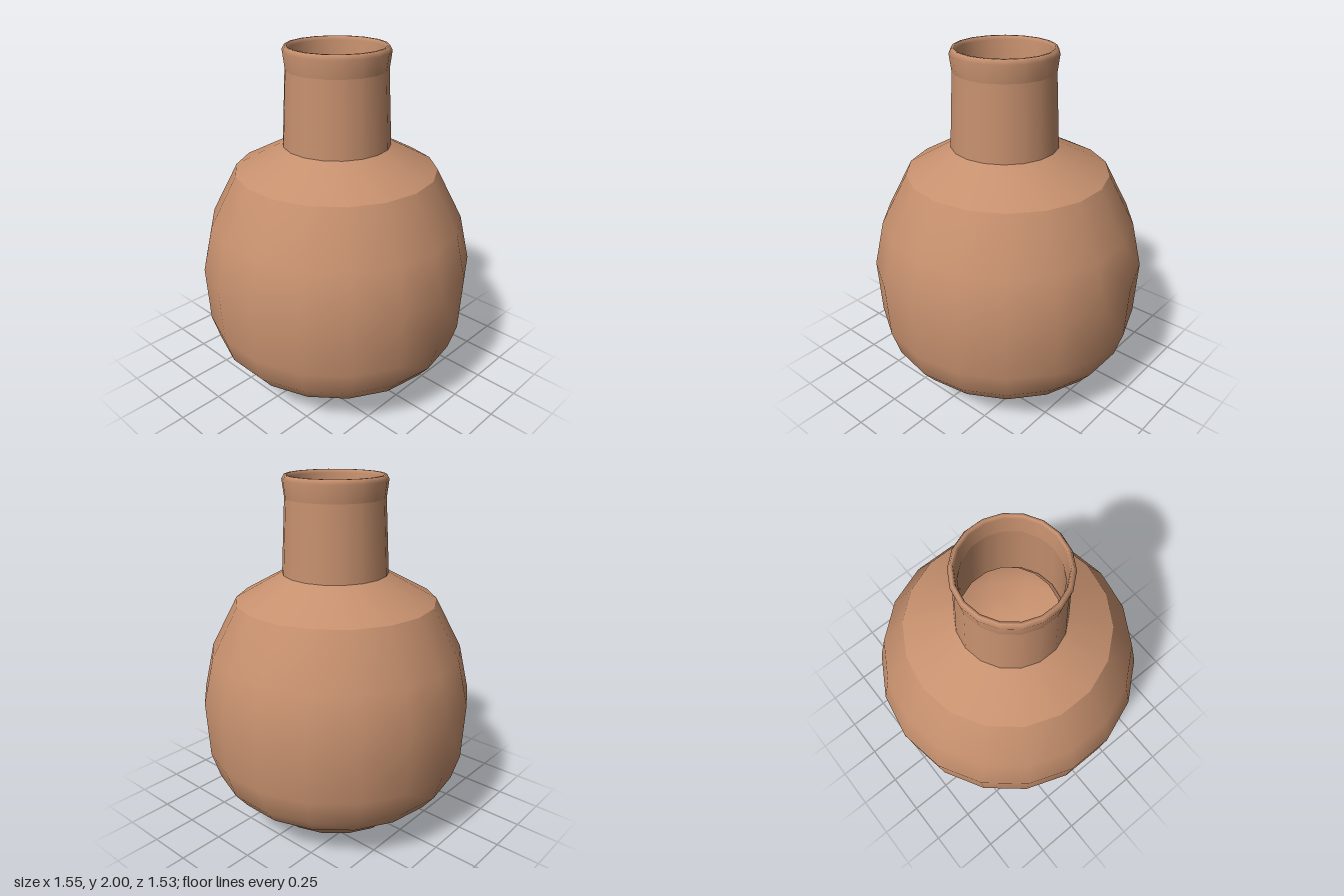
import * as THREE from 'three';
import { mergeVertices, toCreasedNormals } from 'three/addons/utils/BufferGeometryUtils.js';

const clay = new THREE.MeshStandardMaterial({ color: 0xc6906e });
clay.name = 'terracotta';
clay.side = THREE.DoubleSide;

const ring = (points, sides, start) =>
  new THREE.LatheGeometry(points.map(([r, y]) => new THREE.Vector2(r, y)), sides, start);

export function createModel() {
  const vase = new THREE.Group();
  vase.name = 'vase';

  const add = (name, geometry) => {
    const mesh = new THREE.Mesh(geometry, clay);
    mesh.name = name;
    vase.add(mesh);
    return mesh;
  };

  // Surfaces of revolution, each with its own smooth shading
  const lathe = (name, points, sides = 18, start = Math.PI / 18) => add(name, ring(points, sides, start));

  // Rounded belly
  lathe('belly', [[0.645, 0.22], [0.715, 0.31], [0.76, 0.46], [0.775, 0.78], [0.715, 1.04], [0.565, 1.325]]);

  // Neck parts sit slightly off the belly's axis
  const offset = [0.015, 0.01];
  const neckParts = [
    lathe('neck', [[0.298, 1.47], [0.276, 1.88]]),
    lathe('lip', [[0.276, 1.88], [0.288, 1.975], [0.275, 2], [0.262, 2], [0.258, 1.98], [0.25, 1.88]]),
    lathe('neckInside', [[0.25, 1.88], [0.275, 1.46]]),
  ];
  for (const part of neckParts) part.position.set(offset[0], 0, offset[1]);

  // Sloping shoulder whose upper edge follows the neck
  const shoulder = ring([[0.565, 1.325], [0.298, 1.47]], 18, Math.PI / 18);
  const sp = shoulder.attributes.position;
  for (let i = 0; i < sp.count; i++) {
    if (sp.getY(i) > 1.4) {
      sp.setX(i, sp.getX(i) + offset[0]);
      sp.setZ(i, sp.getZ(i) + offset[1]);
    }
  }
  add('shoulder', shoulder);

  // Hollow inside of the belly
  lathe('bellyInside', [[0.275, 1.46], [0.53, 1.29], [0.68, 1.02], [0.73, 0.78], [0.7, 0.4], [0.5, 0.25], [0, 0.2]]);

  // Worn foot: chipped away on the left side, with a dent underneath
  let foot = ring([[0, 0], [0.14, 0.015], [0.27, 0.02], [0.425, 0.04], [0.53, 0.15], [0.645, 0.22]], 18, Math.PI / 18);
  foot.deleteAttribute('normal');
  foot.deleteAttribute('uv');
  const p = foot.attributes.position;
  for (let i = 0; i < p.count; i++) {
    const x = p.getX(i), y = p.getY(i), z = p.getZ(i);
    if (y > 0.2) continue;
    const dent = 0.07 * Math.max(0, 1 - Math.hypot(x + 0.25, z + 0.03) / 0.17);
    p.setY(i, Math.max(y, 0.02 + (x - 0.165) * 0.33 * (x > 0.165 ? 1 : 0)) * (x > 0.165 || y > 0 ? 1 : 0) + dent);
  }
  foot = toCreasedNormals(mergeVertices(foot), 0.5);
  add('foot', foot);

  return vase;
}
